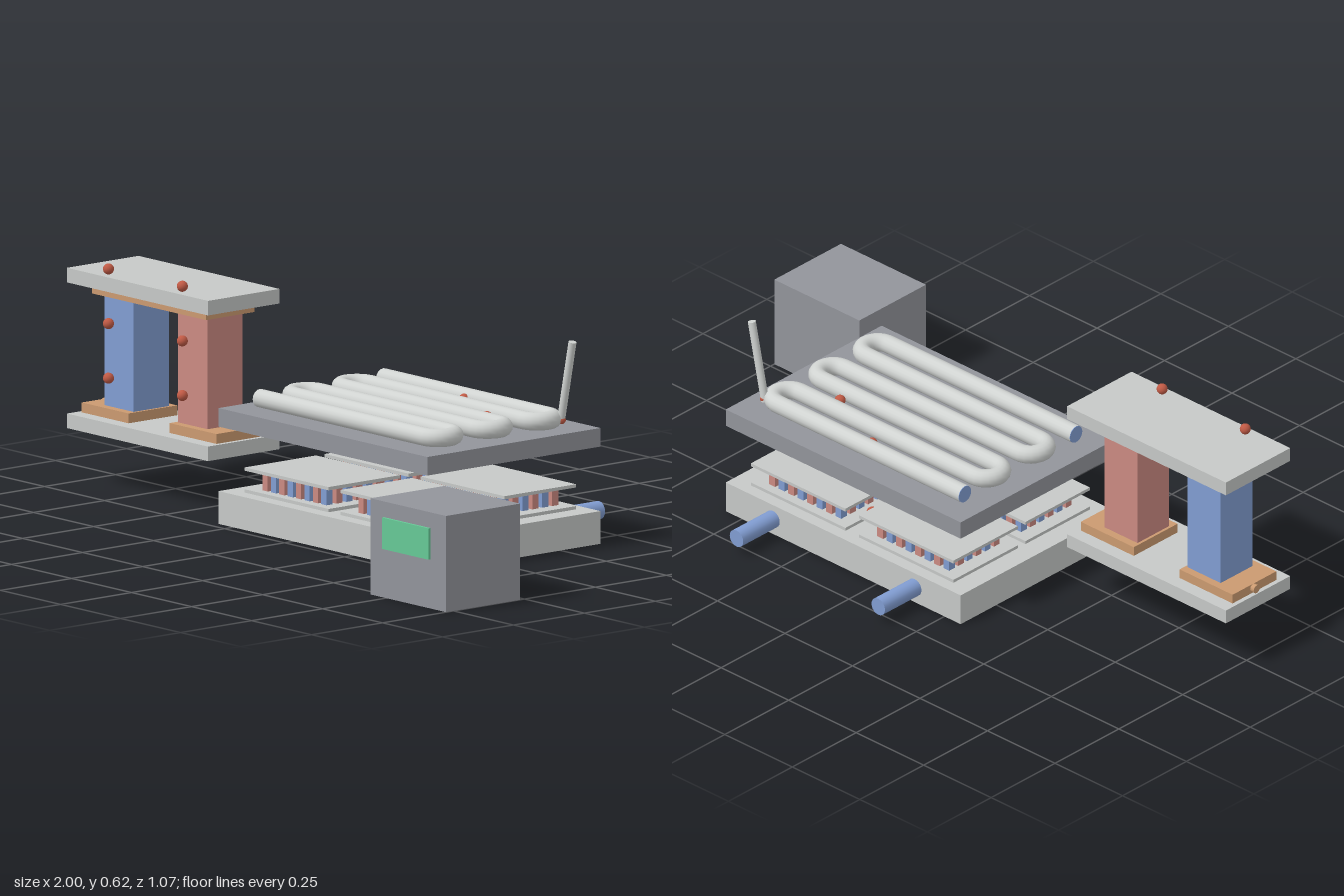
import * as THREE from 'three';

const mat = (name, color) => new THREE.MeshStandardMaterial({ name, color });

export function createModel() {
  const M = {
    ceramic: mat('ceramic grey', 0xc6c9c7),
    dark: mat('dark grey', 0x92949b),
    silver: mat('tube silver', 0xd0d3d1),
    blue: mat('cool blue', 0x819dd2),
    red: mat('warm red', 0xcb8a82),
    copper: mat('copper', 0xcb9a70),
    carrier: mat('carrier red', 0xc05a45),
    wire: mat('wire red', 0xc0604c),
    black: mat('wire black', 0x2e3035),
    green: mat('screen green', 0x66c896),
  };
  const model = new THREE.Group();
  model.name = 'thermoelectricCooler';
  const group = (name) => {
    const g = new THREE.Group();
    g.name = name;
    model.add(g);
    return g;
  };
  const add = (parent, name, geo, material, x = 0, y = 0, z = 0) => {
    const m = new THREE.Mesh(geo, material);
    m.name = name;
    m.position.set(x, y, z);
    parent.add(m);
    return m;
  };
  // box given by its minimum and maximum on each axis
  const box = (parent, name, material, x0, x1, y0, y1, z0, z1) =>
    add(parent, name, new THREE.BoxGeometry(x1 - x0, y1 - y0, z1 - z0), material,
      (x0 + x1) / 2, (y0 + y1) / 2, (z0 + z1) / 2);
  // cylinder between two points
  const rod = (parent, name, material, r, a, b) => {
    const p = new THREE.Vector3(...a), q = new THREE.Vector3(...b);
    const d = q.clone().sub(p);
    const m = add(parent, name, new THREE.CylinderGeometry(r, r, d.length(), 20), material);
    m.position.copy(p).add(q).multiplyScalar(0.5);
    m.quaternion.setFromUnitVectors(new THREE.Vector3(0, 1, 0), d.normalize());
    return m;
  };
  const ballGeo = new THREE.SphereGeometry(0.015, 18, 12);
  const ball = (parent, x, y, z) => add(parent, 'chargeCarrier', ballGeo, M.carrier, x, y, z);

  // Base block with two water pipes at the back
  const cooler = group('cooler');
  box(cooler, 'baseBlock', M.ceramic, -0.31, 0.56, 0, 0.09, -0.39, 0.22);
  for (const x of [-0.14, 0.385]) {
    rod(cooler, 'waterPipe', M.blue, 0.025, [x, 0.047, -0.38], [x, 0.047, -0.533]);
  }

  // Four modules, each a checkerboard of legs between two thin plates
  const legGeo = new THREE.BoxGeometry(0.022, 0.052, 0.022);
  for (const cx of [-0.075, 0.325]) {
    for (const cz of [0.053, -0.229]) {
      const module = group('module');
      for (const [name, y] of [['lowerPlate', 0.09], ['upperPlate', 0.15]]) {
        box(module, name, M.ceramic, cx - 0.175, cx + 0.175, y, y + 0.009, cz - 0.126, cz + 0.126);
      }
      for (let i = 0; i < 8; i++) {
        for (let j = 0; j < 6; j++) {
          add(module, 'leg', legGeo, (i + j) % 2 ? M.blue : M.red,
            cx + (i - 3.5) * 0.035, 0.125, cz + (2.5 - j) * 0.035);
        }
      }
    }
  }

  // Cold plate
  box(cooler, 'coldPlate', M.dark, -0.31, 0.56, 0.267, 0.318, -0.39, 0.22);

  // Serpentine tube: six runs joined by half-circle bends
  const tubeY = 0.344, r = 0.025, pitch = 0.087, zBack = -0.305;
  const xL = -0.2, xR = 0.447, xEnd = -0.245;
  const path = new THREE.CurvePath();
  const line = (x0, x1, z) => path.add(new THREE.LineCurve3(
    new THREE.Vector3(x0, tubeY, z), new THREE.Vector3(x1, tubeY, z)));
  class Bend extends THREE.Curve {
    constructor(x, z, side) {
      super();
      Object.assign(this, { x, z, side });
    }
    getPoint(t, target = new THREE.Vector3()) {
      const a = t * Math.PI;
      return target.set(this.x + this.side * Math.sin(a) * pitch / 2, tubeY,
        this.z - Math.cos(a) * pitch / 2);
    }
  }
  for (let i = 0; i < 6; i++) {
    const z = zBack + i * pitch, right = i % 2 === 0;
    const from = right ? (i === 0 ? xEnd : xL) : xR;
    const to = right ? xR : (i === 5 ? xEnd : xL);
    line(from, to, z);
    if (i < 5) path.add(new Bend(to, z + pitch / 2, right ? 1 : -1));
  }
  add(cooler, 'serpentineTube', new THREE.TubeGeometry(path, 360, r, 16), M.silver);
  for (const z of [zBack, zBack + 5 * pitch]) {
    rod(cooler, 'tubeFluid', M.blue, 0.024, [xEnd - 0.001, tubeY, z], [xEnd + 0.03, tubeY, z]);
  }

  // Temperature probe
  rod(cooler, 'probe', M.silver, 0.011, [0.495, 0.335, -0.305], [0.544, 0.563, -0.305]);
  add(cooler, 'probeTip', new THREE.SphereGeometry(0.012, 16, 10), M.carrier, 0.498, 0.342, -0.305);

  // Heat carriers rising through the stack
  for (const [x, z] of [[-0.05, -0.043], [0.34, -0.175], [0.122, -0.28]]) {
    for (const y of [0.128, 0.236, 0.344]) ball(cooler, x, y, z);
  }

  // Single couple shown enlarged beside the cooler
  const couple = group('couple');
  for (const [name, y] of [['lowerCeramic', 0.15], ['upperCeramic', 0.55]]) {
    box(couple, name, M.ceramic, -1, -0.412, y, y + 0.04, -0.081, 0.171);
  }
  box(couple, 'upperBridge', M.copper, -0.943, -0.469, 0.523, 0.55, -0.041, 0.13);
  for (const [side, cx, material] of [[-1, -0.86, M.blue], [1, -0.552, M.red]]) {
    box(couple, 'pillar', material, cx - 0.061, cx + 0.061, 0.216, 0.523, -0.018, 0.106);
    const pad = cx + side * 0.029;
    box(couple, 'lowerPad', M.copper, pad - 0.098, pad + 0.098, 0.19, 0.217, -0.041, 0.13);
    for (const y of [0.305, 0.455, 0.605]) ball(couple, cx, y, 0.143);
  }
  rod(couple, 'padLead', M.copper, 0.012, [-0.97, 0.205, 0.04], [-1, 0.205, 0.04]);
  ball(couple, -0.705, 0.533, 0.045);

  // Controller with screen and two supply wires
  const controller = group('controller');
  box(controller, 'controllerBox', M.dark, 0.685, 1, 0, 0.264, 0.265, 0.526);
  box(controller, 'screen', M.green, 0.742, 0.936, 0.135, 0.221, 0.526, 0.534);
  const wire = (name, material, points) => add(controller, name, new THREE.TubeGeometry(
    new THREE.CatmullRomCurve3(points.map((p) => new THREE.Vector3(...p))), 40, 0.01, 10), material);
  wire('redWire', M.wire, [[0.51, 0.112, 0.19], [0.55, 0.112, 0.245], [0.61, 0.135, 0.305], [0.69, 0.177, 0.355]]);
  wire('blackWire', M.black, [[0.51, 0.1, 0.19], [0.55, 0.093, 0.26], [0.61, 0.095, 0.345], [0.69, 0.107, 0.43]]);

  return model;
}
